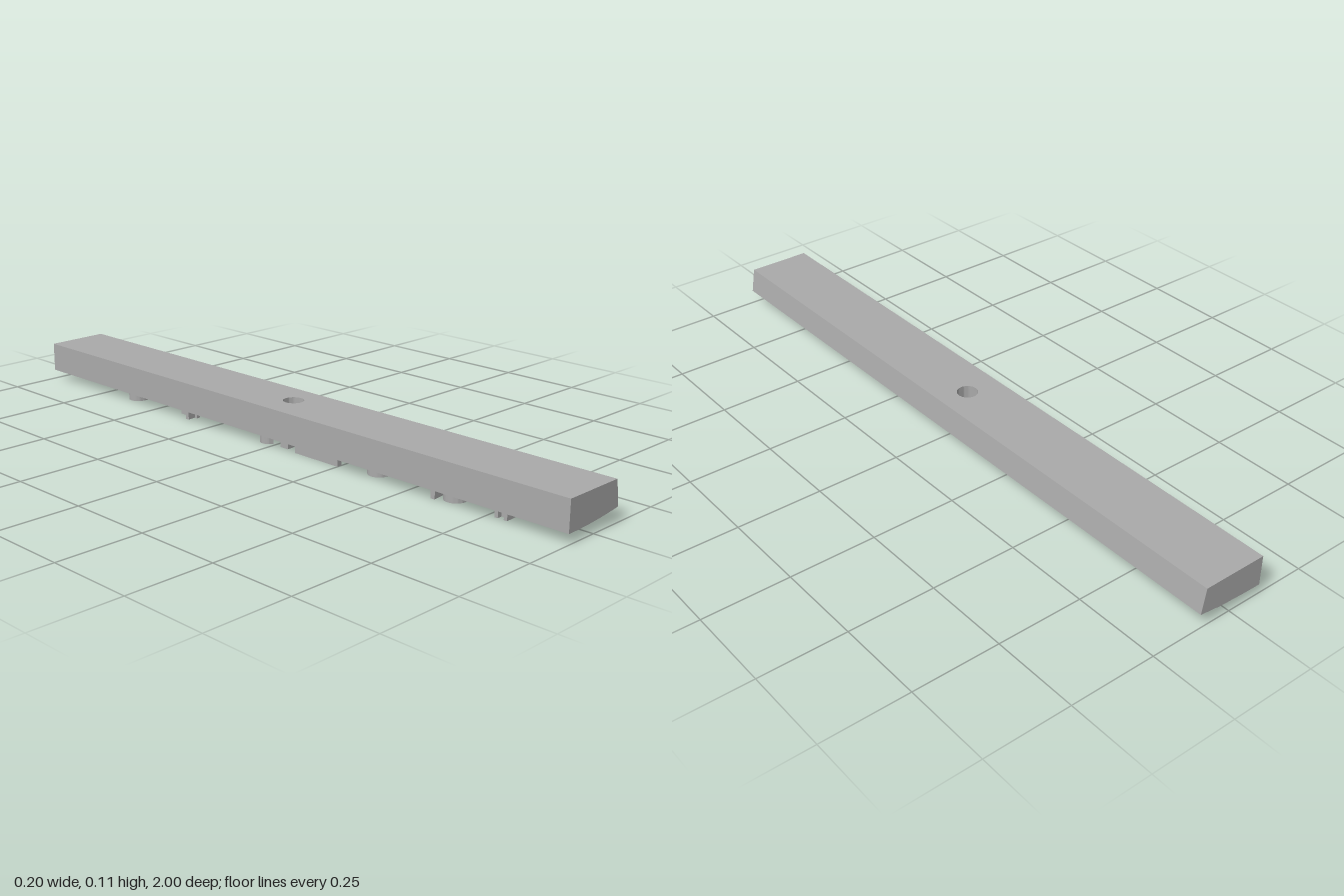
import * as THREE from 'three';
import { toCreasedNormals } from 'three/addons/utils/BufferGeometryUtils.js';

const LEFT = 0.1, RIGHT = -0.102, TOP = 0.115, TOP_LEFT = 0.088;
const HOLE = 0.03, CORE = 0.05, RELIEF = 0.028;

// height of the gently curved underside
const under = (x) => 0.028 + 0.014 * ((x + 0.1) / 0.2) ** 2;

// extrude a plan shape (x, z) downwards, then place its top and bottom by a rule
function planSolid(shape, topY, bottomY, topX = (x) => x) {
  const g = new THREE.ExtrudeGeometry(shape, { depth: 1, bevelEnabled: false, curveSegments: 24 });
  g.rotateX(Math.PI / 2);
  const p = g.attributes.position;
  for (let i = 0; i < p.count; i++) {
    const x = p.getX(i), isTop = p.getY(i) > -0.5;
    p.setY(i, isTop ? topY(x) : bottomY(x));
    if (isTop) p.setX(i, topX(x));
  }
  return toCreasedNormals(g, 0.6);
}

// bar between two plan points
function barShape(x1, z1, x2, z2, w) {
  const l = Math.hypot(x2 - x1, z2 - z1);
  const nx = (-(z2 - z1) / l) * w / 2, nz = ((x2 - x1) / l) * w / 2;
  return new THREE.Shape([
    new THREE.Vector2(x1 + nx, z1 + nz), new THREE.Vector2(x1 - nx, z1 - nz),
    new THREE.Vector2(x2 - nx, z2 - nz), new THREE.Vector2(x2 + nx, z2 + nz),
  ]);
}

// round ring, or an open arc of it
function ringShape(x, z, r, w, from = 0, to = Math.PI * 2) {
  const s = new THREE.Shape();
  s.absarc(x, z, r, from, to, false);
  if (to - from < 6.28) {
    s.absarc(x, z, r - w, to, from, true);
  } else {
    const hole = new THREE.Path();
    hole.absarc(x, z, r - w, 0, Math.PI * 2, true);
    s.holes.push(hole);
  }
  return s;
}

export function createModel() {
  const model = new THREE.Group();
  const grey = new THREE.MeshStandardMaterial({ color: 0xaaaaaa });
  grey.name = 'grey';
  const add = (name, geometry) => {
    const m = new THREE.Mesh(geometry, grey);
    m.name = name;
    model.add(m);
    return m;
  };

  // long halves of the bar, on either side of the hole
  const steps = 16;
  const xs = Array.from({ length: steps + 1 }, (_, i) => RIGHT + (LEFT - RIGHT) * i / steps);
  const profile = new THREE.Shape([
    ...xs.map((x) => new THREE.Vector2(x, under(x))),
    new THREE.Vector2(TOP_LEFT, TOP), new THREE.Vector2(RIGHT, TOP),
  ]);
  for (const [name, z] of [['frontBar', CORE], ['backBar', -1]]) {
    const g = new THREE.ExtrudeGeometry(profile, { depth: 1 - CORE, bevelEnabled: false });
    g.translate(0, 0, z);
    add(name, toCreasedNormals(g, 0.4));
  }

  // middle block with the vertical hole
  const plan = new THREE.Shape([
    ...xs.map((x) => new THREE.Vector2(x, -CORE)),
    ...[...xs].reverse().map((x) => new THREE.Vector2(x, CORE)),
  ]);
  const hole = new THREE.Path();
  hole.absarc(0, 0, HOLE, 0, Math.PI * 2, true);
  plan.holes.push(hole);
  add('holeBlock', planSolid(plan, () => TOP, under, (x) => Math.min(x, TOP_LEFT)));

  // raised relief following the underside
  const relief = (name, shape) =>
    add(name, planSolid(shape, (x) => under(x) + 0.004, (x) => under(x) - RELIEF));

  // straight ridges: x1, z1, x2, z2, width
  const bars = [
    [0.06, -0.73, 0.06, -0.58, 0.018],
    [-0.035, -0.23, -0.035, -0.01, 0.016],
    [-0.075, 0.09, -0.075, 0.25, 0.016],
    [0.055, 0.34, 0.055, 0.49, 0.016],
    [0.062, 0.52, 0.062, 0.66, 0.016],
    [0.02, 0.577, -0.09, 0.585, 0.013],
    // slanted ridge with its cross ridge and stem
    [0.015, -0.345, -0.06, -0.405, 0.014],
    [-0.06, -0.41, -0.06, -0.34, 0.012],
    [0.015, -0.355, -0.09, -0.355, 0.012],
    // short blocks
    [-0.04, 0.038, -0.075, 0.038, 0.03],
  ];
  for (const b of bars) relief('ridge', barShape(...b));

  // paired rings
  for (const [x, z] of [[0.003, -0.625], [0.012, 0.365], [0.006, 0.627]]) {
    relief('ring', ringShape(x, z, 0.03, 0.01));
    relief('ring', ringShape(x - 0.056, z, 0.032, 0.01));
  }

  // open arc beside the hole
  relief('arc', ringShape(-0.062, -0.035, 0.026, 0.01, Math.PI * 0.6, Math.PI * 2.1));

  // small forked marks near both ends
  for (const [x, z] of [[0, -0.96], [-0.06, 0.79]]) {
    for (const s of [-1, 1]) relief('mark', barShape(x - 0.02, z + s * 0.014, x + 0.02, z + s * 0.014, 0.01));
    relief('mark', barShape(x, z - 0.012, x, z + 0.012, 0.01));
  }
  return model;
}
